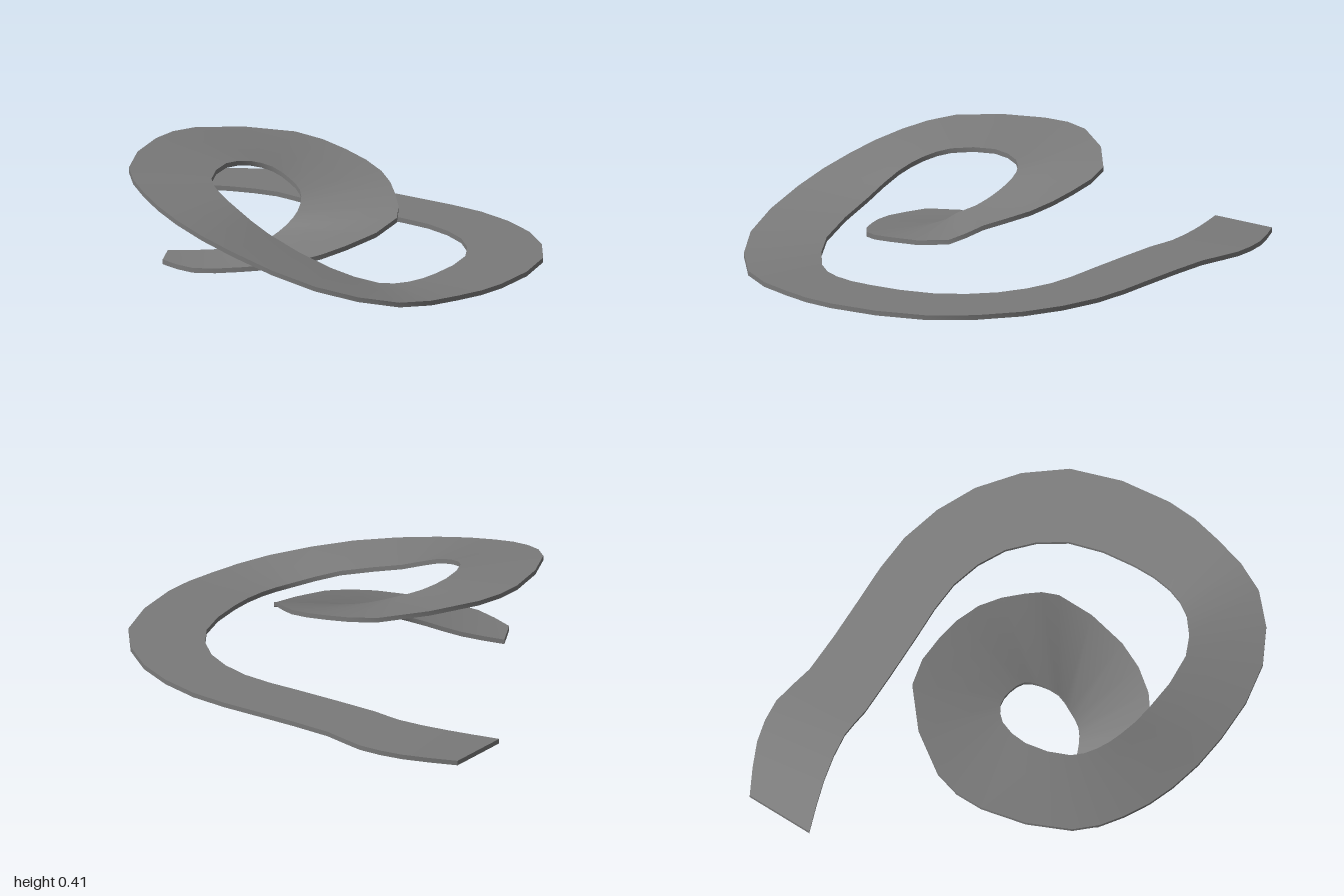
import * as THREE from 'three';
import { toCreasedNormals } from 'three/addons/utils/BufferGeometryUtils.js';

const THICKNESS = 0.02;
const STEPS_PER_SPAN = 2;
const CREASE_ANGLE = 0.8;

// Matching points along the two upper edges of the ramp, start to end
const outerEdge = [
  [-1, 0.02, -0.7], [-0.79, 0.03, -0.8], [-0.6, 0.035, -0.83], [-0.41, 0.035, -0.79],
  [-0.05, 0.035, -0.785], [0.28, 0.035, -0.775], [0.62, 0.035, -0.65], [0.9, 0.035, -0.37],
  [1, 0.035, 0.05], [0.97, 0.037, 0.3], [0.87, 0.05, 0.57], [0.59, 0.115, 0.77],
  [0.2, 0.21, 0.82], [-0.11, 0.285, 0.785], [-0.34, 0.345, 0.7], [-0.52, 0.388, 0.56],
  [-0.65, 0.41, 0.2], [-0.62, 0.41, -0.03], [-0.34, 0.37, -0.335], [-0.1, 0.33, -0.36],
  [0.12, 0.285, -0.31], [0.28, 0.24, -0.19], [0.37, 0.18, -0.08], [0.35, 0.13, 0.24],
  [0.24, 0.09, 0.44], [0.05, 0.06, 0.56], [-0.15, 0.037, 0.62], [-0.34, 0.03, 0.57],
];
const innerEdge = [
  [-1, 0.02, -0.41], [-0.78, 0.03, -0.48], [-0.57, 0.035, -0.515], [-0.44, 0.035, -0.5],
  [-0.05, 0.035, -0.5], [0.22, 0.035, -0.495], [0.46, 0.035, -0.4], [0.63, 0.035, -0.2],
  [0.69, 0.035, 0.08], [0.68, 0.037, 0.26], [0.62, 0.05, 0.38], [0.45, 0.11, 0.485],
  [0.15, 0.205, 0.5], [-0.03, 0.28, 0.48], [-0.15, 0.32, 0.44], [-0.24, 0.345, 0.37],
  [-0.3, 0.36, 0.19], [-0.27, 0.345, 0.06], [-0.2, 0.32, 0.005], [-0.12, 0.285, 0],
  [-0.05, 0.25, 0.02], [-0.01, 0.21, 0.07], [0.01, 0.17, 0.15], [-0.01, 0.125, 0.22],
  [-0.04, 0.095, 0.28], [-0.1, 0.075, 0.32], [-0.24, 0.045, 0.375], [-0.41, 0.03, 0.44],
];

const edgeCurve = (pts) => new THREE.CatmullRomCurve3(pts.map((p) => new THREE.Vector3(...p)));

// Sweeps a four-cornered section between the two edges and closes both ends
function slabBetween(outer, inner, steps) {
  const positions = [];
  const index = [];
  for (let i = 0; i <= steps; i++) {
    const o = outer.getPoint(i / steps);
    const n = inner.getPoint(i / steps);
    positions.push(o.x, o.y, o.z, n.x, n.y, n.z);
    positions.push(n.x, n.y - THICKNESS, n.z, o.x, o.y - THICKNESS, o.z);
  }
  const quad = (a, b, c, d) => index.push(a, b, c, a, c, d);
  for (let i = 0; i < steps; i++) {
    for (let j = 0; j < 4; j++) {
      const k = (j + 1) % 4;
      quad(i * 4 + j, i * 4 + k, i * 4 + 4 + k, i * 4 + 4 + j);
    }
  }
  const e = steps * 4;
  quad(0, 3, 2, 1);
  quad(e, e + 1, e + 2, e + 3);

  const geometry = new THREE.BufferGeometry();
  geometry.setAttribute('position', new THREE.Float32BufferAttribute(positions, 3));
  geometry.setIndex(index);
  return toCreasedNormals(geometry, CREASE_ANGLE);
}

export function createModel() {
  const group = new THREE.Group();
  group.name = 'spiralRamp';
  const asphalt = new THREE.MeshStandardMaterial({ color: 0x7a7a7a });
  const steps = (outerEdge.length - 1) * STEPS_PER_SPAN;

  // Flat approach, climbing loop and descent under it, as one continuous road slab
  const road = new THREE.Mesh(slabBetween(edgeCurve(outerEdge), edgeCurve(innerEdge), steps), asphalt);
  road.name = 'roadSlab';
  group.add(road);
  return group;
}
